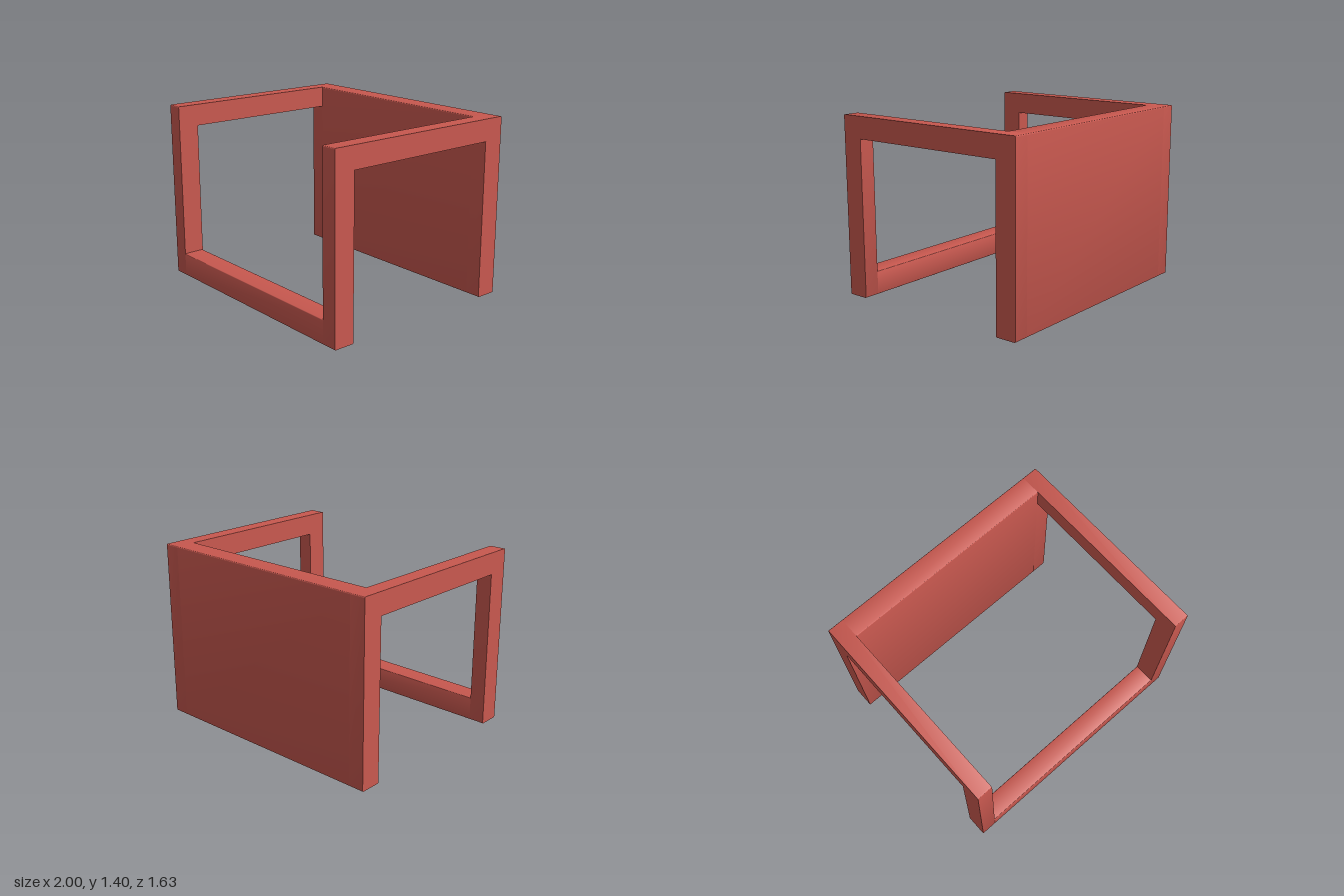
import * as THREE from 'three';
import { toCreasedNormals } from 'three/addons/utils/BufferGeometryUtils.js';

const HALF_W = 1, INNER_W = 0.875;      // outer and inner half width
const HALF_D = 0.815, INNER_D = 0.647;  // outer and inner half depth
const HEIGHT = 1.4, RAIL_Y = 1.23, BAR_TOP = 0.185;
const R = 0.01;                         // softened edge radius

// Closed profile from [u, y, rounded] corners, where u = -z
function profile(corners) {
  const s = new THREE.Shape();
  const pts = corners.map(([u, y]) => new THREE.Vector2(u, y));
  const n = pts.length;
  const toward = (a, b) => a.clone().add(b.clone().sub(a).setLength(R));
  pts.forEach((p, i) => {
    const rounded = corners[i][2];
    const a = rounded ? toward(p, pts[(i + n - 1) % n]) : p;
    if (i === 0) s.moveTo(a.x, a.y); else s.lineTo(a.x, a.y);
    if (rounded) {
      const b = toward(p, pts[(i + 1) % n]);
      s.quadraticCurveTo(p.x, p.y, b.x, b.y);
    }
  });
  s.closePath();
  return s;
}

const block = (u0, u1, y0, y1) =>
  profile([[u0, y0, true], [u1, y0, true], [u1, y1, true], [u0, y1, true]]);

// Extrude a profile along x from x0 to x1
function sweep(name, shape, x0, x1, material) {
  let g = new THREE.ExtrudeGeometry(shape, { depth: x1 - x0, bevelEnabled: false, curveSegments: 4 });
  g.rotateY(Math.PI / 2);
  g.translate(x0, 0, 0);
  g = toCreasedNormals(g, 0.6);
  const mesh = new THREE.Mesh(g, material);
  mesh.name = name;
  return mesh;
}

export function createModel() {
  const model = new THREE.Group();
  model.name = 'openFrame';
  const red = new THREE.MeshStandardMaterial({ color: 0xc8584f });
  red.name = 'brick red';

  // Side frames: front post, top rail and rear post in one arch
  const arch = profile([
    [-HALF_D, 0, true], [-INNER_D, 0, true], [-INNER_D, RAIL_Y, false],
    [INNER_D, RAIL_Y, false], [INNER_D, 0, true], [HALF_D, 0, true],
    [HALF_D, HEIGHT, true], [-HALF_D, HEIGHT, true],
  ]);
  model.add(sweep('leftSideFrame', arch, INNER_W, HALF_W, red));
  model.add(sweep('rightSideFrame', arch, -HALF_W, -INNER_W, red));

  // Solid back panel between the rear posts
  model.add(sweep('backPanel', block(INNER_D, HALF_D, 0, HEIGHT), -INNER_W, INNER_W, red));

  // Low bar joining the front posts
  model.add(sweep('frontBar', block(-HALF_D, -INNER_D, 0, BAR_TOP), -INNER_W, INNER_W, red));

  return model;
}
